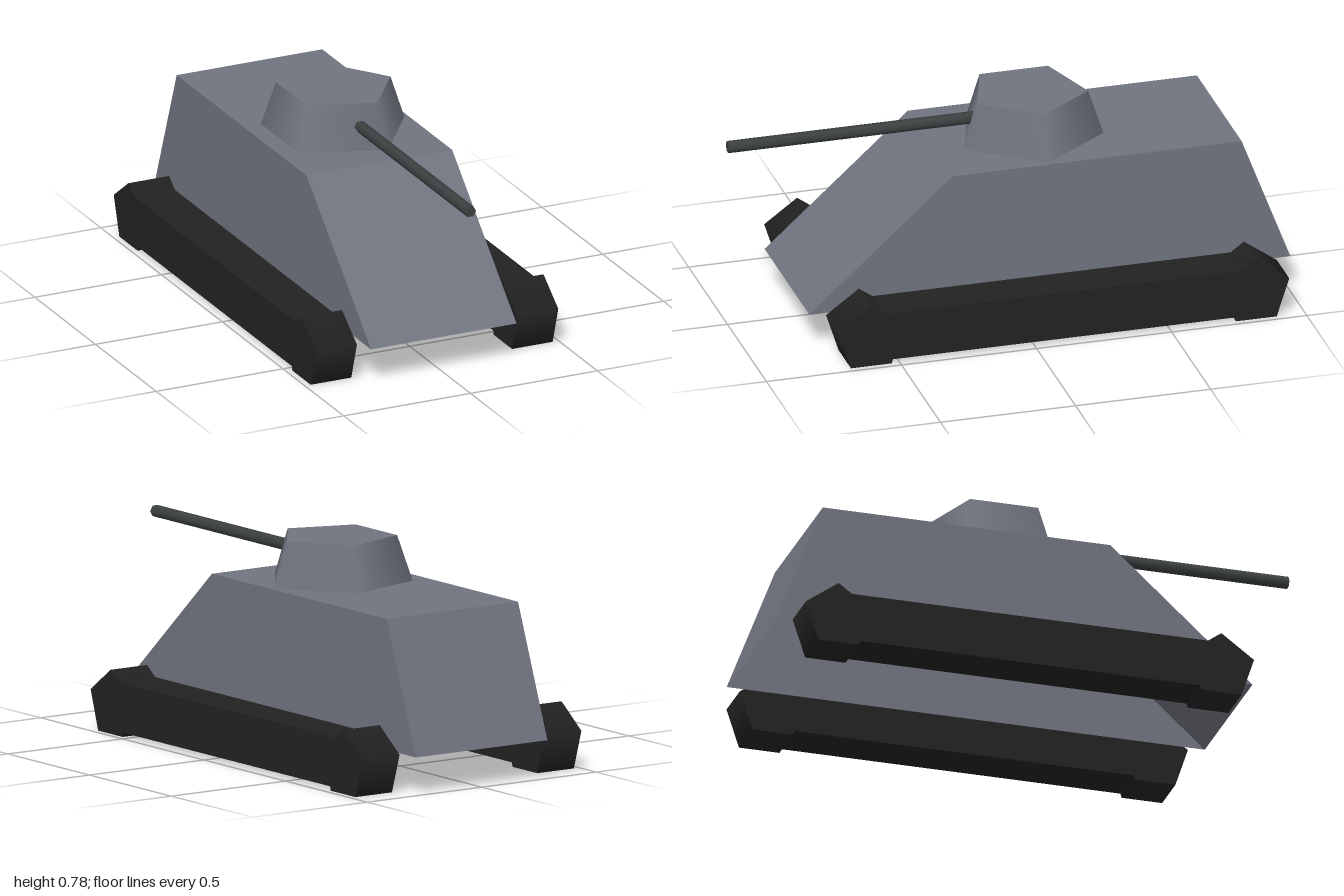
import * as THREE from 'three';

export function createModel() {
  const model = new THREE.Group();
  const material = (name, color, side = THREE.FrontSide) =>
    Object.assign(new THREE.MeshStandardMaterial({ color, side }), { name });
  const armour = material('armourGrey', 0x70747f, THREE.DoubleSide);
  const rubber = material('trackBlack', 0x222222);
  const steel = material('gunSteel', 0x3c4141);

  const add = (parent, name, geometry, mat, x = 0, y = 0, z = 0) => {
    const mesh = new THREE.Mesh(geometry, mat);
    mesh.name = name;
    mesh.position.set(x, y, z);
    parent.add(mesh);
    return mesh;
  };

  // Hull: sloped shell, open underneath; profile as [z, y]
  const half = 0.287;
  const profile = [[0.78, 0.138], [0.25, 0.612], [-0.82, 0.612], [-1, 0.138]];
  const positions = [];
  const quad = (a, b, c, d) => positions.push(...a, ...b, ...c, ...a, ...c, ...d);
  const at = (i, x) => [x, profile[i][1], profile[i][0]];
  for (let i = 0; i < 3; i++) {
    quad(at(i, -half), at(i, half), at(i + 1, half), at(i + 1, -half));
  }
  quad(at(0, half), at(3, half), at(2, half), at(1, half));
  quad(at(1, -half), at(2, -half), at(3, -half), at(0, -half));
  const hull = new THREE.BufferGeometry();
  hull.setAttribute('position', new THREE.Float32BufferAttribute(positions, 3));
  hull.computeVertexNormals();
  add(model, 'hull', hull, armour);

  // Five-sided turret with smooth walls, one corner towards +x
  const turret = new THREE.CylinderGeometry(0.216, 0.271, 0.164, 5, 1, false, Math.PI / 2);
  add(model, 'turret', turret, armour, 0, 0.694, -0.11);

  // Six-sided gun barrel
  const barrel = new THREE.CylinderGeometry(0.022, 0.022, 1.1, 6, 1, false, Math.PI / 2);
  barrel.rotateX(Math.PI / 2);
  add(model, 'gunBarrel', barrel, steel, 0, 0.695, 0.45);

  // Tracks: a long bar with a five-sided wheel at each end
  const wheel = new THREE.CylinderGeometry(0.128, 0.128, 0.16, 5, 1, false, Math.PI / 2);
  wheel.rotateZ(Math.PI / 2);
  const bar = new THREE.BoxGeometry(0.16, 0.18, 1.42);
  for (const side of [-1, 1]) {
    const track = new THREE.Group();
    track.name = side > 0 ? 'leftTrack' : 'rightTrack';
    track.position.x = side * 0.397;
    add(track, 'trackBar', bar, rubber, 0, 0.105, -0.107);
    add(track, 'frontWheel', wheel, rubber, 0, 0.103, 0.605);
    add(track, 'rearWheel', wheel, rubber, 0, 0.103, -0.82);
    model.add(track);
  }
  return model;
}
